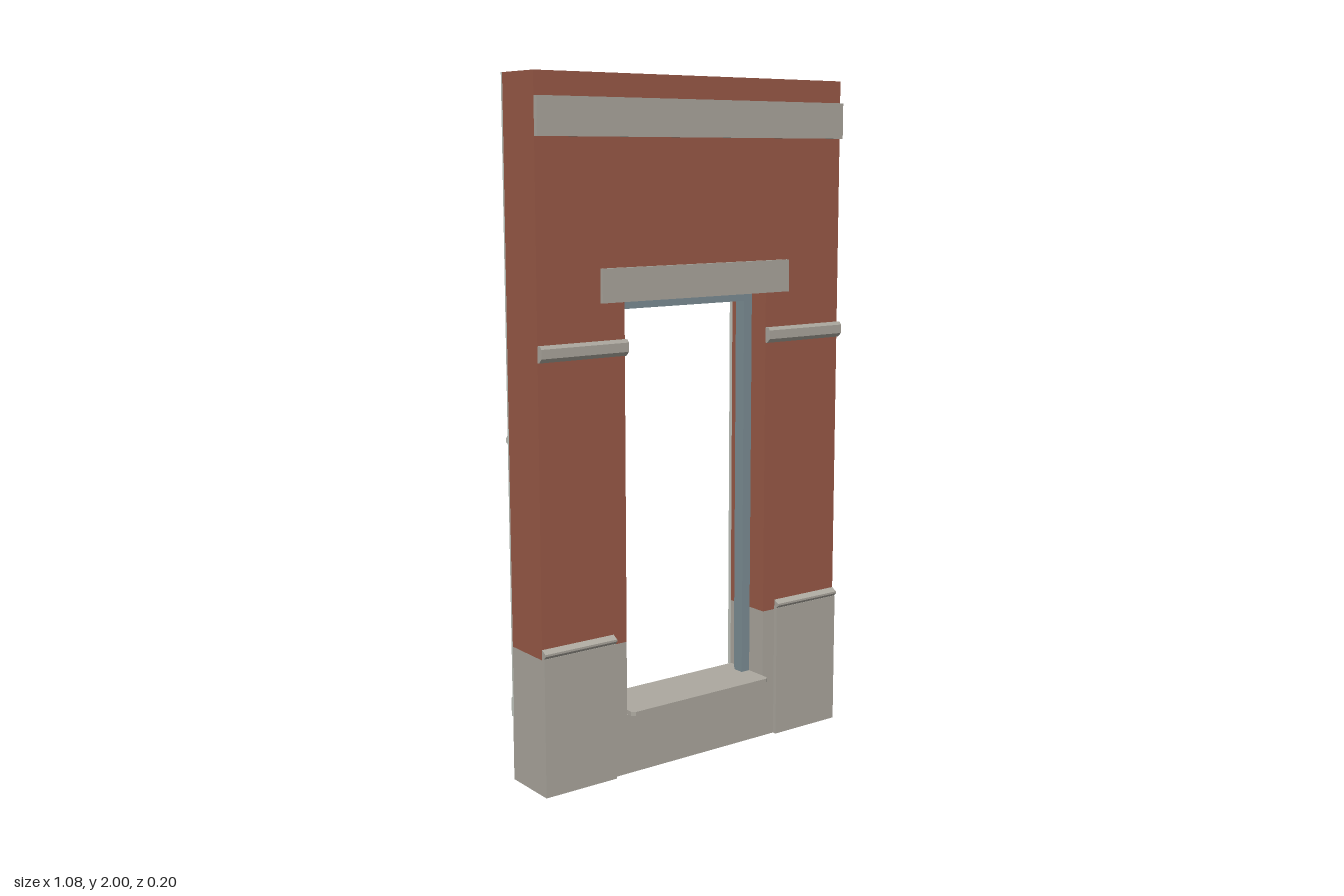
import * as THREE from 'three';

const W = 0.54, OPEN = 0.255, SILL = 0.18, HEAD = 1.38;
const BACK = -0.088, FRONT = 0.07;

export function createModel() {
  const root = new THREE.Group();
  root.name = 'doorwayWall';
  const mat = (name, color) => {
    const m = new THREE.MeshStandardMaterial({ color });
    m.name = name;
    return m;
  };
  const brick = mat('brick red', 0x9a5a47);
  const stone = mat('warm grey stone', 0xaca89f);
  const plaster = mat('pale plaster', 0xc3c7c0);
  const metal = mat('blue grey frame', 0x7c8e95);

  const add = (name, geometry, material) => {
    const mesh = new THREE.Mesh(geometry, material);
    mesh.name = name;
    root.add(mesh);
    return mesh;
  };
  const box = (name, x0, x1, y0, y1, z0, z1, material) => {
    const g = new THREE.BoxGeometry(x1 - x0, y1 - y0, z1 - z0);
    g.translate((x0 + x1) / 2, (y0 + y1) / 2, (z0 + z1) / 2);
    return add(name, g, material);
  };
  // Outline in x and y, extruded from z0 to z1
  const slab = (name, points, z0, z1, material) => {
    const shape = new THREE.Shape(points.map(([x, y]) => new THREE.Vector2(x, y)));
    const g = new THREE.ExtrudeGeometry(shape, { depth: z1 - z0, bevelEnabled: false });
    g.translate(0, 0, z0);
    return add(name, g, material);
  };
  // Moulding profile in z and y, extruded along x
  const moulding = (name, x0, x1, profile, material) => {
    const shape = new THREE.Shape(profile.map(([z, y]) => new THREE.Vector2(-z, y)));
    const g = new THREE.ExtrudeGeometry(shape, { depth: x1 - x0, bevelEnabled: false });
    g.rotateY(Math.PI / 2);
    g.translate(x0, 0, 0);
    return add(name, g, material);
  };
  // Arch outline: two legs joined by a head
  const arch = (outer, inner, bottom, head, top) => [
    [-outer, bottom], [-inner, bottom], [-inner, head], [inner, head],
    [inner, bottom], [outer, bottom], [outer, top], [-outer, top],
  ];

  // Wall core: stone base and brick above
  slab('stoneBase', [[-W, 0], [W, 0], [W, 0.4], [OPEN, 0.4], [OPEN, SILL],
    [-OPEN, SILL], [-OPEN, 0.4], [-W, 0.4]], BACK, FRONT, stone);
  slab('brickWall', arch(W, OPEN, 0.4, HEAD, 2), BACK, FRONT, brick);

  // Inner plaster face, door casing and rear plinth
  slab('plasterFace', arch(W, OPEN, 0.19, HEAD, 2), -0.095, BACK, plaster);
  slab('doorCasing', arch(0.305, OPEN, 0.19, HEAD, 1.43), -0.101, -0.095, plaster);
  box('rearPlinth', -W, W, 0, 0.19, -0.093, BACK, stone);

  // Front bands
  box('topBand', -W, W, 1.83, 1.935, FRONT, 0.084, stone);
  box('lintel', -0.335, 0.335, HEAD, 1.475, FRONT, 0.081, stone);

  // Sill with clipped front corners
  const sill = new THREE.Shape([[-OPEN, -0.085], [OPEN, -0.085], [OPEN, 0.09],
    [0.245, 0.1], [-0.245, 0.1], [-OPEN, 0.09]].map(([x, z]) => new THREE.Vector2(x, -z)));
  const sillGeometry = new THREE.ExtrudeGeometry(sill, { depth: 0.012, bevelEnabled: false });
  sillGeometry.rotateX(-Math.PI / 2);
  sillGeometry.translate(0, 0.183, 0);
  add('doorSill', sillGeometry, stone);

  // Parts on both sides of the opening
  for (const s of [-1, 1]) {
    const span = (a, b) => (s > 0 ? [a, b] : [-b, -a]);
    const side = s > 0 ? 'left' : 'right';

    box(side + 'Pedestal', ...span(0.3, W), 0, 0.405, FRONT, 0.082, stone);
    moulding(side + 'PedestalCap', ...span(0.3, W),
      [[FRONT, 0.405], [0.08, 0.405], [0.088, 0.414], [0.088, 0.42], [FRONT, 0.43]], stone);
    moulding(side + 'StringCourse', ...span(OPEN, W),
      [[FRONT, 1.23], [0.078, 1.23], [0.09, 1.242], [0.09, 1.268], [0.084, 1.276], [FRONT, 1.276]], stone);

    // Rear wainscot rail and skirting
    moulding(side + 'WainscotRail', ...span(0.305, W),
      [[-0.095, 0.985], [-0.104, 0.99], [-0.104, 1.0], [-0.095, 1.01]], plaster);
    moulding(side + 'Skirting', ...span(0.305, W),
      [[-0.095, 0.19], [-0.101, 0.19], [-0.101, 0.243], [-0.095, 0.25]], plaster);
  }

  // Door frame set into the opening, with a slimmer rebate behind
  slab('doorFrame', arch(OPEN, 0.225, 0.195, 1.352, HEAD), -0.03, 0.005, metal);
  slab('doorFrameRebate', arch(OPEN, 0.238, 0.195, 1.364, HEAD), -0.05, -0.03, metal);

  return root;
}
